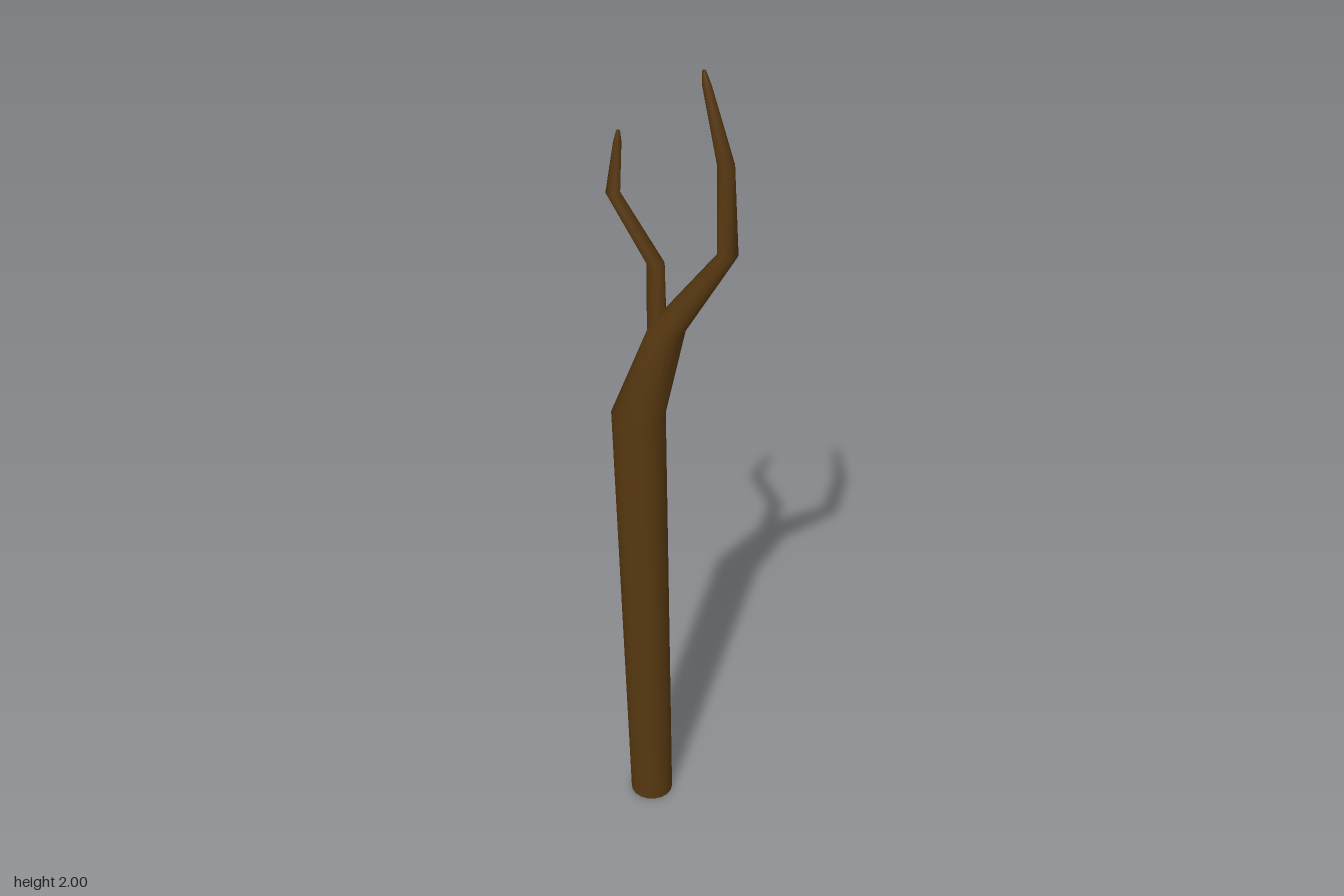
import * as THREE from 'three';

const SIDES = 18;

// Skin a limb over level rings given as [x, y, z, radius], closed at both ends.
function limb(name, rings, material) {
  const pos = [], idx = [];
  const addRing = ([x, y, z, r]) => {
    const start = pos.length / 3;
    for (let j = 0; j <= SIDES; j++) {
      const a = (j % SIDES) / SIDES * Math.PI * 2;
      pos.push(x + r * Math.cos(a), y, z + r * Math.sin(a));
    }
    return start;
  };
  const starts = rings.map(addRing);
  for (let i = 0; i < rings.length - 1; i++) {
    for (let j = 0; j < SIDES; j++) {
      const a = starts[i] + j, b = starts[i + 1] + j;
      idx.push(a, b, a + 1, b, b + 1, a + 1);
    }
  }
  // end caps use their own rings so the rim stays sharp
  [rings[0], rings[rings.length - 1]].forEach((ring, top) => {
    const s = addRing(ring), c = pos.length / 3;
    pos.push(ring[0], ring[1], ring[2]);
    for (let j = 0; j < SIDES; j++) {
      if (top) idx.push(c, s + j + 1, s + j);
      else idx.push(c, s + j, s + j + 1);
    }
  });
  const geo = new THREE.BufferGeometry();
  geo.setAttribute('position', new THREE.Float32BufferAttribute(pos, 3));
  geo.setIndex(idx);
  geo.computeVertexNormals();
  // share the normal across the seam of every side ring
  const n = geo.attributes.normal;
  for (const s of starts) {
    const v = new THREE.Vector3().fromBufferAttribute(n, s)
      .add(new THREE.Vector3().fromBufferAttribute(n, s + SIDES)).normalize();
    n.setXYZ(s, v.x, v.y, v.z);
    n.setXYZ(s + SIDES, v.x, v.y, v.z);
  }
  const mesh = new THREE.Mesh(geo, material);
  mesh.name = name;
  return mesh;
}

export function createModel() {
  const bark = new THREE.MeshStandardMaterial({ color: 0x553710 });
  bark.name = 'dark brown bark';

  const group = new THREE.Group();
  group.name = 'bareTree';

  // trunk running on into the tall left branch
  group.add(limb('trunkAndTallBranch', [
    [-0.023, 0, 0.021, 0.053],
    [-0.06, 1.15, 0.02, 0.063],
    [-0.013, 1.37, -0.026, 0.043],
    [0.128, 1.59, -0.063, 0.023],
    [0.127, 1.805, -0.052, 0.019],
    [0.077, 1.97, -0.046, 0.01],
    [0.07, 2, -0.045, 0.004],
  ], bark));

  // short right branch growing out of the fork
  group.add(limb('shortBranch', [
    [-0.034, 1.31, -0.016, 0.023],
    [-0.038, 1.53, -0.016, 0.02],
    [-0.136, 1.68, 0.013, 0.016],
    [-0.128, 1.8, 0.005, 0.009],
    [-0.127, 1.825, 0.003, 0.004],
  ], bark));

  return group;
}
